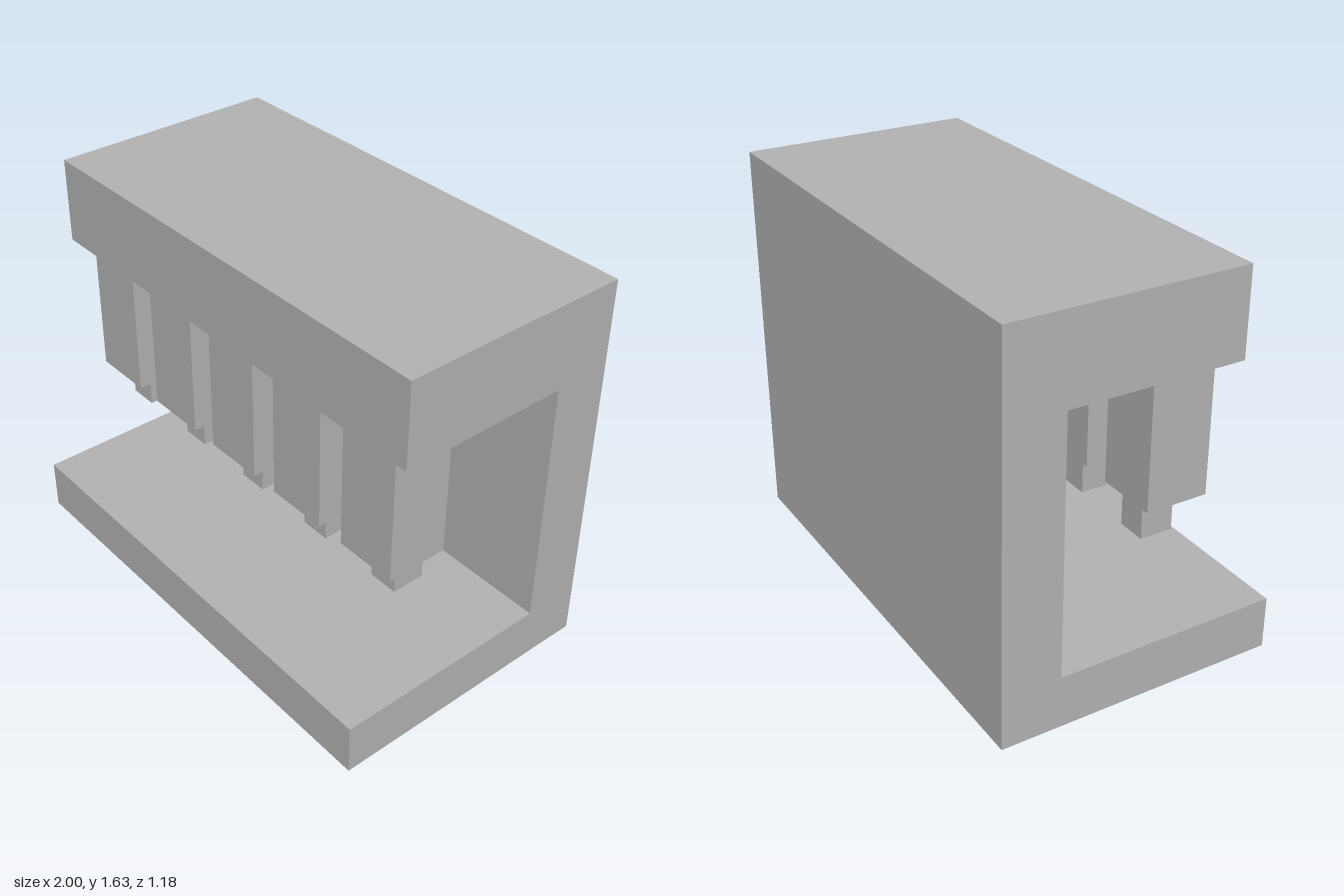
import * as THREE from 'three';

const grey = new THREE.MeshStandardMaterial({ name: 'plain grey', color: 0xb2b2b2 });

function box(name, w, h, d, x, y, z) {
  const mesh = new THREE.Mesh(new THREE.BoxGeometry(w, h, d), grey);
  mesh.name = name;
  mesh.position.set(x, y, z);
  return mesh;
}

export function createModel() {
  const model = new THREE.Group();
  model.name = 'dispenser';

  // C-shaped housing: side profile as [z, y], extruded across the width
  const profile = [
    [0.59, 0], [0.59, 0.218], [-0.345, 0.218], [-0.345, 1.28],
    [0.378, 1.28], [0.378, 1.635], [-0.59, 1.635], [-0.59, 0],
  ];
  const shape = new THREE.Shape(profile.map(([z, y]) => new THREE.Vector2(-z, y)));
  const geometry = new THREE.ExtrudeGeometry(shape, { depth: 2, bevelEnabled: false });
  geometry.translate(0, 0, -1).rotateY(Math.PI / 2);
  const housing = new THREE.Mesh(geometry, grey);
  housing.name = 'housing';
  model.add(housing);

  // Row of five heads hanging just below the top arm, each with a narrow tip
  for (let i = -2; i <= 2; i++) {
    const head = new THREE.Group();
    head.name = 'head';
    head.position.x = i * 0.385;
    head.add(
      box('headBody', 0.264, 0.553, 0.26, 0, 0.9885, 0.201),
      box('headTip', 0.124, 0.156, 0.136, 0, 0.634, 0.17),
    );
    model.add(head);
  }
  return model;
}
